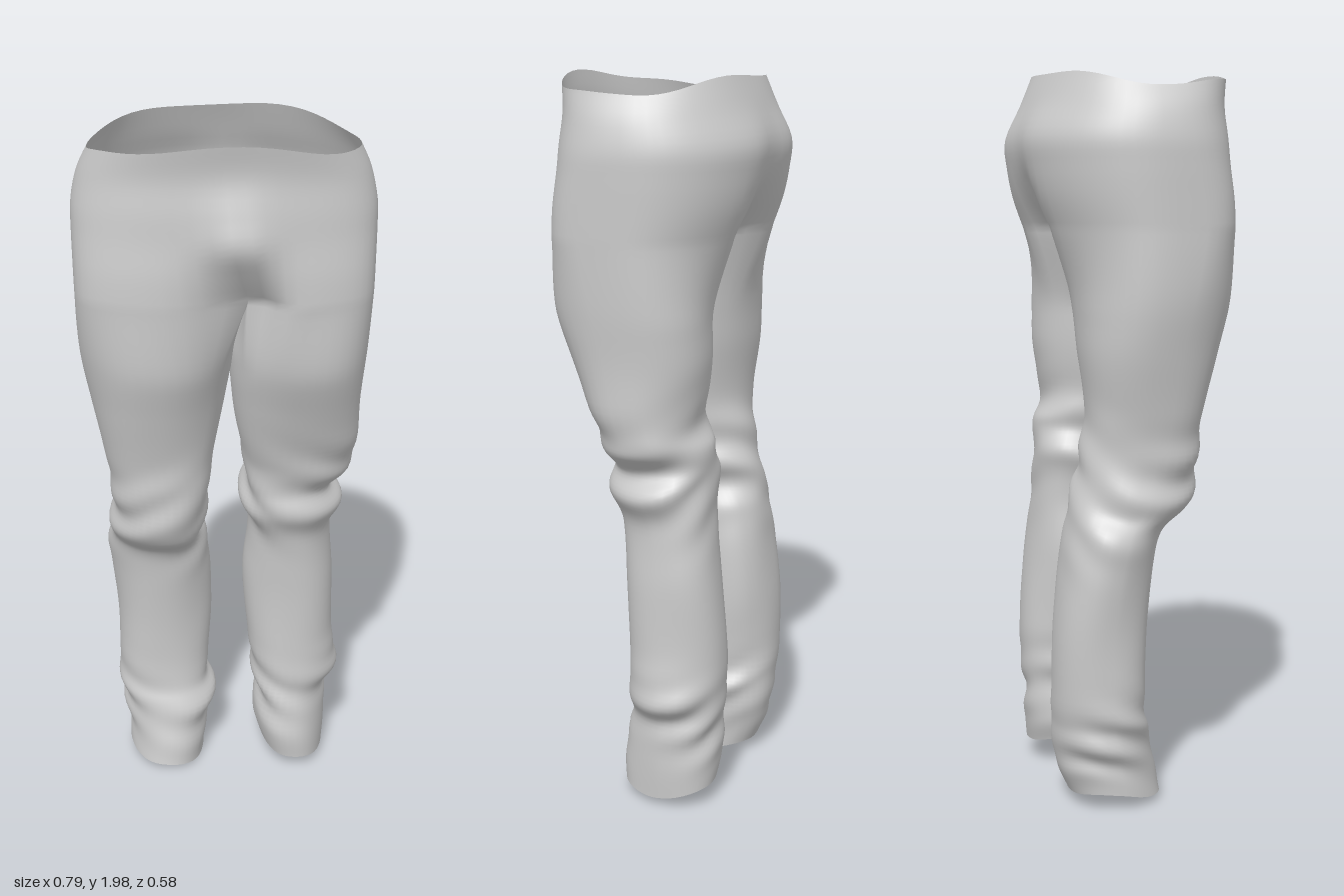
import * as THREE from 'three';

const HALF = 30;      // steps round each side of the hips
const BRIDGE = 12;    // steps along the crotch seam
const { lerp, smoothstep, degToRad } = THREE.MathUtils;
const bell = (v, c, w) => Math.exp(-(((v - c) / w) ** 2));
const soft = (v, p) => Math.sign(v) * Math.abs(v) ** p;

// Smooth interpolation through rows of numbers, t in row units
function sampleRows(rows, t) {
  const i = Math.min(Math.floor(t), rows.length - 2), f = t - i;
  const at = k => rows[Math.max(0, Math.min(rows.length - 1, k))];
  return rows[i].map((b, k) => {
    const a = at(i - 1)[k], c = at(i + 1)[k], d = at(i + 2)[k];
    return b + 0.5 * f * (c - a + f * (2 * a - 5 * b + 4 * c - d + f * (3 * (b - c) + d - a)));
  });
}

// Hips: y, half width, front z, back z, side dip, front crease, back crease, front bulge
const hipRows = [
  [1.99, 0.348, 0.268, -0.22, 0.045, 0, 0, 0],
  [1.91, 0.376, 0.255, -0.253, 0.025, 0, 0, 0],
  [1.82, 0.393, 0.26, -0.296, 0.01, 0, 0.014, 0.017],
  [1.74, 0.394, 0.262, -0.291, 0, 0.005, 0.022, 0.035],
  [1.66, 0.392, 0.267, -0.274, 0, 0.04, 0.05, 0.015],
  [1.58, 0.39, 0.268, -0.244, 0, 0.09, 0.09, 0],
];

// Legs: y, inner x, outer x, front z, back z
const rightRows = [
  [1.56, 0.075, -0.389, 0.267, -0.225],
  [1.4, 0.033, -0.385, 0.242, -0.182],
  [1.25, 0, -0.365, 0.2, -0.17],
  [1.1, -0.03, -0.335, 0.165, -0.15],
  [1.0, -0.04, -0.315, 0.16, -0.16],
  [0.9, -0.05, -0.315, 0.155, -0.18],
  [0.83, -0.06, -0.315, 0.125, -0.2],
  [0.77, -0.05, -0.332, 0.05, -0.21],
  [0.68, -0.04, -0.33, 0.025, -0.225],
  [0.5, -0.04, -0.32, 0.005, -0.245],
  [0.3, -0.05, -0.315, 0.005, -0.245],
  [0.22, -0.03, -0.305, 0.022, -0.24],
  [0.12, -0.05, -0.285, 0.042, -0.23],
  [0.035, -0.06, -0.285, 0.055, -0.2],
];
const leftRows = [
  [1.56, 0.06, 0.389, 0.264, -0.225],
  [1.4, 0.022, 0.387, 0.238, -0.182],
  [1.25, 0.025, 0.375, 0.185, -0.175],
  [1.1, 0.045, 0.367, 0.13, -0.155],
  [1.03, 0.055, 0.347, 0.11, -0.18],
  [0.97, 0.05, 0.312, 0.095, -0.19],
  [0.9, 0.05, 0.33, 0.1, -0.19],
  [0.81, 0.072, 0.31, 0.06, -0.195],
  [0.65, 0.06, 0.325, 0.045, -0.21],
  [0.45, 0.072, 0.325, 0.042, -0.225],
  [0.33, 0.082, 0.338, 0.042, -0.225],
  [0.25, 0.095, 0.308, 0.038, -0.22],
  [0.14, 0.09, 0.31, 0.055, -0.22],
  [0.06, 0.11, 0.308, 0.05, -0.21],
];

export function createModel() {
  const pos = [], index = [];
  const add = (x, y, z) => pos.push(x, y, z) / 3 - 1;
  const stitch = (upper, lower, flip) => {
    const n = upper.length;
    for (let i = 0; i < n; i++) {
      const j = (i + 1) % n, a = upper[i], b = upper[j], c = lower[i], d = lower[j];
      if (flip) index.push(a, b, c, b, d, c);
      else index.push(a, c, b, b, c, d);
    }
  };

  // Hips and open waist, squarer across the front towards the thighs
  let ring = null;
  const hipSteps = 20;
  for (let r = 0; r <= hipSteps; r++) {
    const [y, a, zf, zb, dip, cf, cb, bulge] = sampleRows(hipRows, r / hipSteps * (hipRows.length - 1));
    const next = [], zc = 0.03, top = 1 - Math.min(1, r / 6);
    const low = smoothstep(r / hipSteps, 0.2, 1);
    for (let i = 0; i < 2 * HALF; i++) {
      const th = i / HALF * Math.PI, s = Math.sin(th), c = Math.cos(th);
      let x = a * soft(s, 0.92);
      let z = zc + (c > 0 ? (zf - zc) * soft(c, lerp(0.85, 0.5, low)) : (zc - zb) * soft(c, 0.85));
      if (c > 0) z += bulge * bell(x, 0.02, 0.075) - cf * bell(x, 0.01, lerp(0.06, 0.09, low));
      else z += cb * bell(x, 0.01, 0.08);
      x += (c > 0 ? 0.06 : 0.01) * bell(x, 0, 0.14) * (r / hipSteps) ** 2;
      next.push(add(x, y - dip * s * s + 0.006 * top * Math.sin(5 * th + 1), z));
    }
    if (ring) stitch(ring, next, false);
    ring = next;
  }

  // Crotch seam, sagging from the front centre to the back centre
  const P = i => new THREE.Vector3().fromArray(pos, 3 * i);
  const front = P(ring[0]), back = P(ring[HALF]), seam = [];
  for (let k = 1; k < BRIDGE; k++) {
    const p = back.clone().lerp(front, k / BRIDGE);
    seam.push(add(p.x, p.y - 0.1 * Math.sin(Math.PI * k / BRIDGE), p.z));
  }

  // Trouser legs with gathered folds at knee and ankle
  const buildLeg = (rows, side, kneeY, ankleY, phase, hemTilt) => {
    let upper = [];
    for (let i = 0; i <= HALF; i++) upper.push(ring[(side > 0 ? i : 2 * HALF - i) % (2 * HALF)]);
    upper.push(...seam);
    const start = upper.map(P);

    const section = t => {
      const [y, xin, xout, zf, zb] = sampleRows(rows, t);
      const cx = (xin + xout) / 2, cz = (zf + zb) / 2;
      const a = Math.abs(xout - xin) / 2, b = (zf - zb) / 2;
      const hem = smoothstep(0.2 - y, 0, 0.15);
      // The shin is slightly ridged along its front
      const frontPower = lerp(1.08, 0.85, smoothstep(y, 0.7, 1.2));
      return start.map((_, i) => {
        const deg = i <= HALF ? -50 + 280 * i / HALF : 230 + 80 * (i - HALF) / BRIDGE;
        const ph = degToRad(deg), s = Math.sin(ph), c = Math.cos(ph);
        const patch = 0.6 + 0.4 * Math.sin(2 * ph + 11 * y + phase);
        const fold = 0.012 * patch * bell(y, kneeY, 0.13) * Math.sin(46 * y + 4 * s + 2.5 * c + phase)
          + 0.010 * patch * bell(y, ankleY, 0.1) * Math.sin(55 * y + 3.5 * Math.sin(ph + phase))
          + 0.004 * Math.sin(9 * y + 3 * ph + phase);
        return new THREE.Vector3(
          cx + side * (a + fold) * soft(s, 0.9),
          y + hem * (hemTilt * s - 0.014 * c + 0.006 * Math.sin(3 * ph + phase)),
          cz + (b + fold) * soft(c, c > 0 ? frontPower : 0.88));
      });
    };
    // The hip opening eases into the thigh over the first row gap
    const offset = section(0).map((p, i) => start[i].clone().sub(p));
    const steps = (rows.length - 1) * 7;
    for (let k = 1; k <= steps; k++) {
      const t = k / 7, ease = 1 - smoothstep(t, 0, 1.3);
      const next = section(t).map((p, i) => {
        p.addScaledVector(offset[i], ease);
        return add(p.x, p.y, p.z);
      });
      stitch(upper, next, side < 0);
      upper = next;
    }
  };
  buildLeg(leftRows, 1, 0.97, 0.27, 0.6, -0.022);
  buildLeg(rightRows, -1, 0.88, 0.2, 2.1, 0.014);

  const geometry = new THREE.BufferGeometry();
  geometry.setAttribute('position', new THREE.Float32BufferAttribute(pos, 3));
  geometry.setIndex(index);
  geometry.computeVertexNormals();
  const trousers = new THREE.Mesh(geometry,
    new THREE.MeshStandardMaterial({ color: 0xcccccc, side: THREE.DoubleSide }));
  trousers.name = 'trousers';
  const group = new THREE.Group();
  group.name = 'trousersModel';
  group.add(trousers);
  return group;
}
